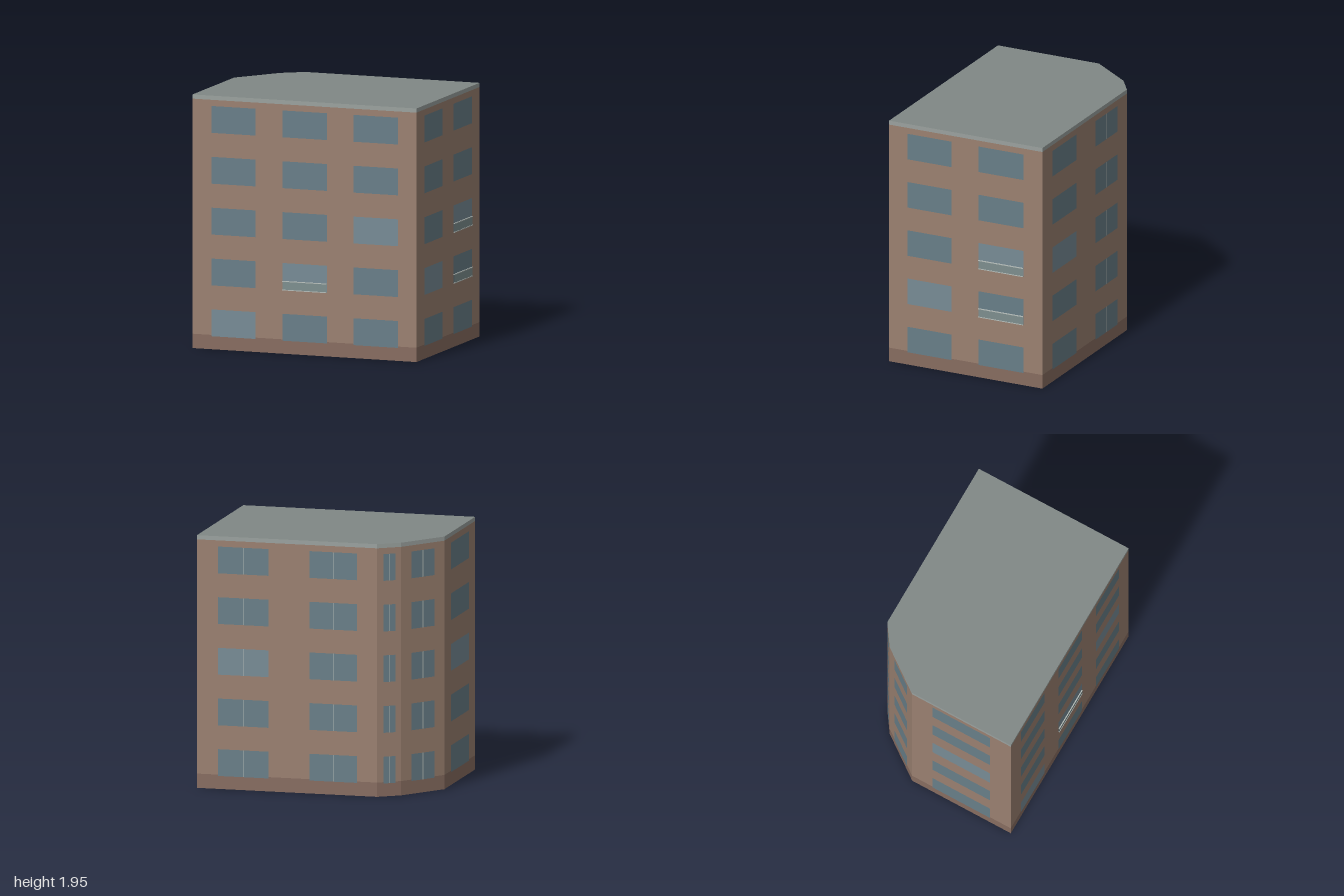
import * as THREE from 'three';

const HEIGHT = 1.945, BASE_TOP = 0.11, BAND_BOTTOM = 1.913;
const FLOORS = 5, FLOOR_PITCH = 0.39, SILL = 0.1, WINDOW_HEIGHT = 0.206;

const material = (color) => new THREE.MeshStandardMaterial({ color, side: THREE.DoubleSide });

// Footprint corners [x, z], running left to right as seen from outside
const CORNERS = [
  [-0.738, 0.896], [0.996, 0.337], [0.599, -0.904],
  [-0.749, -0.468], [-0.866, -0.315], [-0.998, 0.078],
];

// Per wall: window spans as fractions of its length, and [floor, window] lists
const WALLS = [
  { name: 'frontWall', spans: [[0.085, 0.282], [0.403, 0.6], [0.72, 0.917]],
    bright: [[0, 0], [1, 1], [2, 2]], balconies: [[1, 1]] },
  { name: 'leftWall', spans: [[0.12, 0.409], [0.585, 0.876]],
    bright: [[1, 0], [2, 1]], balconies: [[1, 1], [2, 1]] },
  { name: 'backWall', spans: [[0.117, 0.398], [0.625, 0.888]], bright: [[2, 0]], mullion: true },
  { name: 'chamferWall', spans: [[0.25, 0.75]], bright: [], mullion: true },
  { name: 'obliqueWall', spans: [[0.23, 0.77]], bright: [], mullion: true },
  { name: 'rightWall', spans: [[0.21, 0.79]], bright: [[2, 0]] },
];

export function createModel() {
  const building = new THREE.Group();
  building.name = 'apartmentBuilding';
  const mats = {
    wall: material(0x9a8070), base: material(0x876c60), band: material(0x9aa19e),
    roof: material(0x808885), glass: material(0x687e88), brightGlass: material(0x778b95),
    panel: material(0x7d8e8e), rail: material(0xb4bcb8),
  };

  // Flat rectangle on a wall, from (x0, y0) to (x1, y1), standing out by z
  const addRect = (parent, name, mat, x0, x1, y0, y1, z = 0) => {
    const mesh = new THREE.Mesh(new THREE.PlaneGeometry(x1 - x0, y1 - y0), mat);
    mesh.position.set((x0 + x1) / 2, (y0 + y1) / 2, z);
    mesh.name = name;
    parent.add(mesh);
  };
  const includes = (list = [], floor, column) => list.some(([f, c]) => f === floor && c === column);

  WALLS.forEach((spec, i) => {
    const [px, pz] = CORNERS[i];
    const [qx, qz] = CORNERS[(i + 1) % CORNERS.length];
    const length = Math.hypot(qx - px, qz - pz);
    const wall = new THREE.Group();
    wall.name = spec.name;
    wall.position.set(px, 0, pz);
    wall.rotation.y = Math.atan2(pz - qz, qx - px);
    building.add(wall);

    // Plinth, masonry and roof edge band
    addRect(wall, 'plinth', mats.base, 0, length, 0, BASE_TOP);
    addRect(wall, 'masonry', mats.wall, 0, length, BASE_TOP, BAND_BOTTOM);
    addRect(wall, 'roofEdge', mats.band, 0, length, BAND_BOTTOM, HEIGHT);

    for (let floor = 0; floor < FLOORS; floor++) {
      const y = SILL + floor * FLOOR_PITCH;
      spec.spans.forEach(([a, b], column) => {
        const x0 = a * length, x1 = b * length, mid = (x0 + x1) / 2;
        const glass = includes(spec.bright, floor, column) ? mats.brightGlass : mats.glass;
        addRect(wall, 'window', glass, x0, x1, y, y + WINDOW_HEIGHT, 0.002);
        if (spec.mullion) {
          addRect(wall, 'mullion', mats.rail, mid - 0.003, mid + 0.003, y, y + WINDOW_HEIGHT, 0.003);
        }
        // Shallow balcony: panel with a rail along its top and bottom
        if (includes(spec.balconies, floor, column)) {
          addRect(wall, 'balconyPanel', mats.panel, x0, x1, y, y + 0.068, 0.007);
          for (const railY of [y, y + 0.066]) {
            const rail = new THREE.Mesh(new THREE.BoxGeometry(x1 - x0, 0.006, 0.008), mats.rail);
            rail.position.set(mid, railY, 0.006);
            rail.name = 'balconyRail';
            wall.add(rail);
          }
        }
      });
    }
  });

  // Flat roof; the underside of the building stays open
  const outline = new THREE.Shape(CORNERS.map(([x, z]) => new THREE.Vector2(x, -z)));
  const roof = new THREE.Mesh(new THREE.ShapeGeometry(outline).rotateX(-Math.PI / 2), mats.roof);
  roof.position.y = HEIGHT;
  roof.name = 'roof';
  building.add(roof);

  return building;
}
